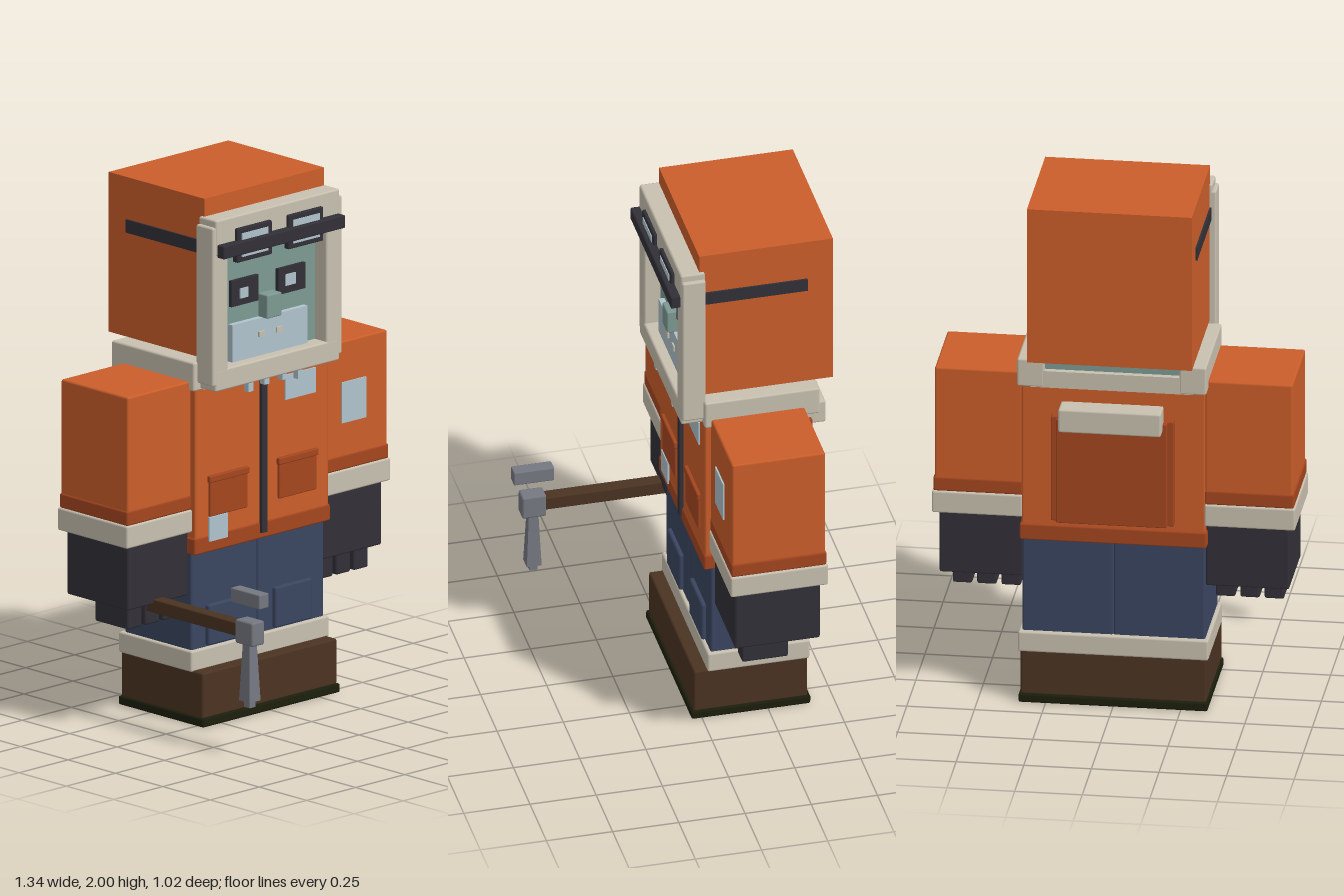
import * as THREE from 'three';
import { RoundedBoxGeometry } from 'three/addons/geometries/RoundedBoxGeometry.js';

const mat = (name, color) => Object.assign(new THREE.MeshStandardMaterial({ color }), { name });

export function createModel() {
  const M = {
    orange: mat('orange cloth', 0xcb5e2a),
    rust: mat('dark orange trim', 0xa5461f),
    cream: mat('cream fleece', 0xc8c0b0),
    dark: mat('charcoal', 0x323037),
    navy: mat('navy denim', 0x3a4560),
    brown: mat('brown leather', 0x4b3322),
    sole: mat('black sole', 0x1c1e0c),
    teal: mat('teal skin', 0x7d9a93),
    ice: mat('pale ice', 0xb0c3cc),
    steel: mat('grey steel', 0x757881),
  };
  const model = new THREE.Group();

  // Box from its lower and upper limits; bevel 0 gives sharp edges
  const box = (name, material, [x0, x1], [y0, y1], [z0, z1], bevel = 0, parent = model) => {
    const s = [x1 - x0, y1 - y0, z1 - z0];
    const g = bevel ? new RoundedBoxGeometry(...s, 1, bevel) : new THREE.BoxGeometry(...s);
    const mesh = new THREE.Mesh(g, material);
    mesh.name = name;
    mesh.position.set((x0 + x1) / 2, (y0 + y1) / 2, (z0 + z1) / 2);
    parent.add(mesh);
    return mesh;
  };
  // The same box on both sides of x = 0
  const pair = (name, material, [a, b], y, z, bevel = 0, parent = model) => {
    box(name + 'Left', material, [a, b], y, z, bevel, parent);
    box(name + 'Right', material, [-b, -a], y, z, bevel, parent);
  };
  const group = (name) => {
    const g = new THREE.Group();
    g.name = name;
    model.add(g);
    return g;
  };
  const B = 0.008;

  // Boots and trousers
  const legs = group('legs');
  box('sole', M.sole, [-0.35, 0.35], [0, 0.035], [-0.41, 0.04], B, legs);
  box('boots', M.brown, [-0.343, 0.343], [0.03, 0.205], [-0.4, 0.03], B, legs);
  box('bootCuff', M.cream, [-0.352, 0.352], [0.2, 0.28], [-0.406, -0.02], B, legs);
  pair('trouserLeg', M.navy, [0, 0.338], [0.27, 0.66], [-0.387, -0.035], B, legs);
  pair('kneePad', M.navy, [0.075, 0.265], [0.285, 0.44], [-0.06, -0.018], B, legs);

  // Jacket
  const jacket = group('jacket');
  box('torso', M.orange, [-0.34, 0.34], [0.69, 1.3], [-0.395, -0.012], B, jacket);
  box('hem', M.rust, [-0.346, 0.346], [0.645, 0.71], [-0.406, -0.008], B, jacket);
  box('zipper', M.dark, [-0.014, 0.014], [0.67, 1.3], [-0.03, 0.002], 0, jacket);
  pair('pocket', M.rust, [0.08, 0.272], [0.78, 0.92], [-0.03, -0.003], 0.005, jacket);
  pair('pocketFlap', M.rust, [0.075, 0.278], [0.91, 0.937], [-0.03, 0.002], 0.005, jacket);
  box('chestPatch', M.ice, [0.115, 0.27], [1.15, 1.245], [-0.013, -0.006], 0, jacket);
  box('hipPatch', M.ice, [-0.277, -0.183], [0.688, 0.78], [-0.009, -0.001], 0, jacket);

  // Open collar with a lower back wall
  const collar = group('collar');
  pair('collarSide', M.cream, [0.25, 0.35], [1.27, 1.38], [-0.445, -0.01], B, collar);
  box('collarFront', M.cream, [-0.3, 0.3], [1.27, 1.38], [-0.09, -0.01], 0, collar);
  box('collarBack', M.cream, [-0.3, 0.3], [1.27, 1.335], [-0.443, -0.37], 0, collar);
  box('neck', M.teal, [-0.25, 0.25], [1.29, 1.4], [-0.42, -0.02], 0, collar);

  // Arms, gloves and fingers
  const arms = group('arms');
  pair('sleeve', M.orange, [0.338, 0.662], [0.82, 1.305], [-0.388, -0.035], B, arms);
  pair('sleeveBand', M.rust, [0.336, 0.667], [0.815, 0.872], [-0.392, -0.032], B, arms);
  pair('sleeveCuff', M.cream, [0.336, 0.672], [0.73, 0.817], [-0.397, -0.028], B, arms);
  pair('glove', M.dark, [0.338, 0.647], [0.486, 0.74], [-0.372, -0.05], B, arms);
  for (const x of [0.36, 0.45, 0.54])
    pair('finger', M.dark, [x, x + 0.073], [0.4, 0.5], [-0.26, -0.085], B, arms);
  box('sleevePatch', M.ice, [0.425, 0.548], [0.995, 1.15], [-0.036, -0.029], 0, arms);

  // Backpack with a bedroll
  const pack = group('backpack');
  box('packPanel', M.rust, [-0.228, 0.228], [0.735, 1.15], [-0.425, -0.38], 0.005, pack);
  box('packBody', M.rust, [-0.205, 0.205], [0.738, 1.15], [-0.453, -0.39], 0.005, pack);
  box('bedroll', M.cream, [-0.19, 0.19], [1.12, 1.212], [-0.508, -0.418], B, pack);

  // Hood with a fleece frame round the face
  const head = group('head');
  box('hood', M.orange, [-0.305, 0.305], [1.392, 2], [-0.505, 0], 0, head);
  pair('frameSide', M.cream, [0.25, 0.33], [1.3, 1.905], [-0.02, 0.07], B, head);
  box('frameTop', M.cream, [-0.316, 0.316], [1.795, 1.932], [-0.02, 0.073], B, head);
  box('frameBottom', M.cream, [-0.316, 0.316], [1.278, 1.36], [-0.02, 0.071], B, head);
  box('face', M.teal, [-0.255, 0.255], [1.35, 1.81], [-0.03, 0.008], 0, head);
  [-0.126, -0.044, 0.046, 0.126].forEach((x, i) =>
    box('icicle', M.ice, [x - 0.012, x + 0.012], [i % 3 ? 1.255 : 1.243, 1.3], [0.035, 0.06], 0, head));

  // Eyes, nose and frosted beard
  pair('eye', M.dark, [0.05, 0.188], [1.568, 1.667], [0, 0.022], 0, head);
  box('pupilLeft', M.ice, [0.085, 0.135], [1.597, 1.64], [0.02, 0.027], 0, head);
  box('pupilRight', M.ice, [-0.147, -0.107], [1.594, 1.632], [0.02, 0.027], 0, head);
  box('nose', M.teal, [-0.038, 0.037], [1.5, 1.59], [0, 0.055], 0.005, head);
  box('beard', M.ice, [-0.192, 0.192], [1.355, 1.502], [0, 0.03], 0, head);
  pair('tooth', M.cream, [0.03, 0.06], [1.432, 1.452], [0.028, 0.036], 0, head);

  // Goggles pushed up on the frame
  const goggles = group('goggles');
  box('goggleBar', M.dark, [-0.31, 0.31], [1.79, 1.84], [0.07, 0.108], 0.005, goggles);
  pair('goggleStrap', M.dark, [0.3, 0.312], [1.79, 1.84], [-0.408, 0], 0, goggles);
  pair('goggleRim', M.dark, [0.042, 0.22], [1.755, 1.885], [0.06, 0.086], 0.005, goggles);
  pair('goggleLens', M.ice, [0.064, 0.198], [1.775, 1.865], [0.083, 0.089], 0, goggles);

  // Pick tool held in the right hand
  const tool = group('pickTool');
  const X = -0.491;
  box('handle', M.brown, [X - 0.026, X + 0.026], [0.454, 0.506], [-0.25, 0.39], 0.005, tool);
  box('toolHead', M.steel, [X - 0.032, X + 0.032], [0.43, 0.522], [0.386, 0.478], B, tool);
  const blade = new THREE.Mesh(new THREE.CylinderGeometry(0.018, 0.031, 0.22, 4), M.steel);
  blade.geometry.dispose();
  blade.geometry = new THREE.CylinderGeometry(0.018 * Math.SQRT2, 0.028 * Math.SQRT2, 0.22, 4)
    .rotateY(Math.PI / 4).toNonIndexed();
  blade.geometry.computeVertexNormals();
  blade.name = 'blade';
  blade.position.set(X, 0.325, 0.432);
  tool.add(blade);
  box('bladeTip', M.steel, [X - 0.015, X + 0.015], [0.19, 0.22], [0.417, 0.447], 0, tool);
  box('toolTop', M.steel, [X - 0.025, X + 0.025], [0.578, 0.634], [0.355, 0.508], 0.005, tool);

  return model;
}
